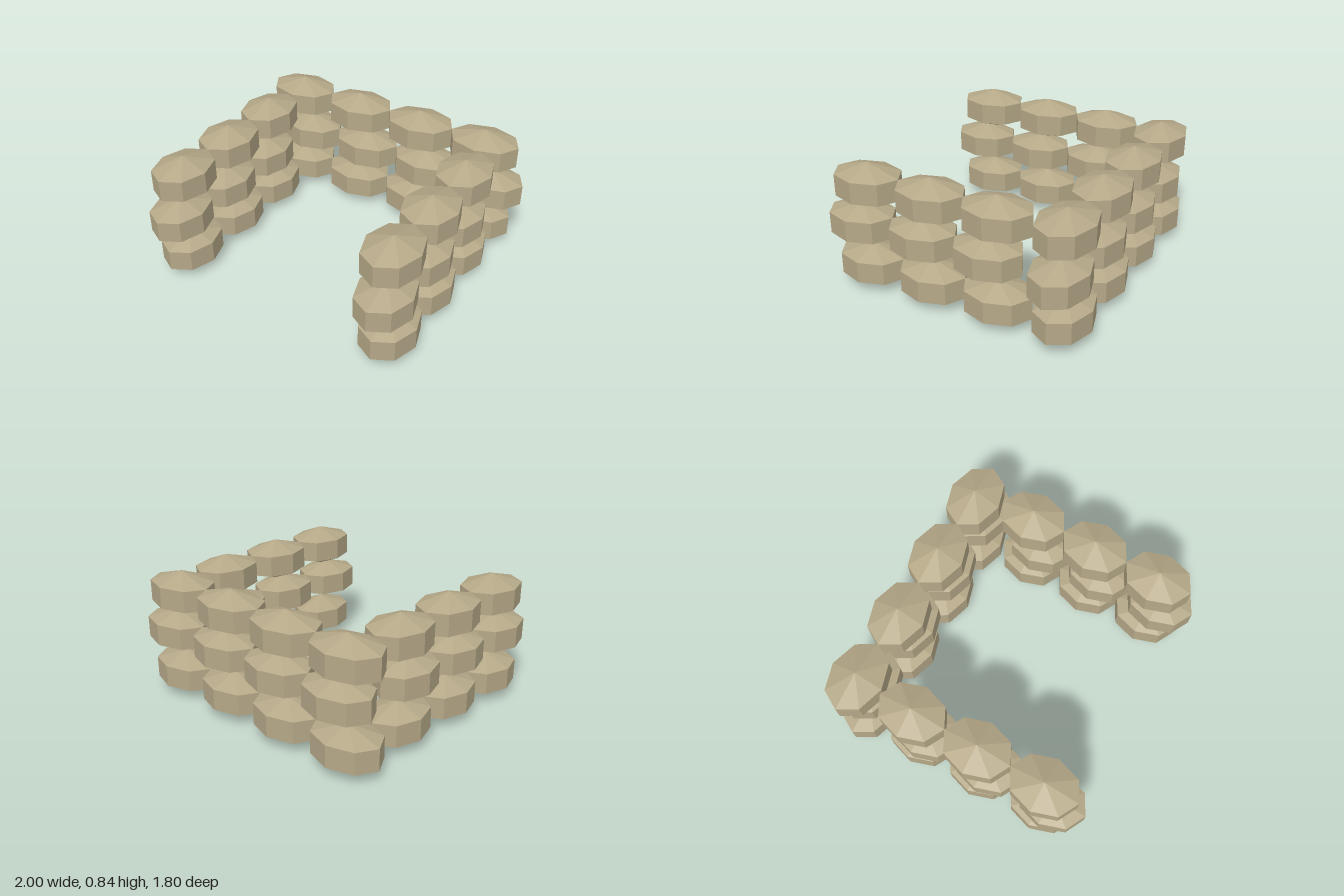
import * as THREE from 'three';

export function createModel() {
  const model = new THREE.Group();
  model.name = 'sandbagBarricade';

  const canvas = new THREE.MeshStandardMaterial({ color: 0xb5a888, flatShading: true });
  canvas.name = 'sandCanvas';

  const RING = Math.sin(Math.PI / 3); // radius of the bag's band on a three-ring sphere
  const BAG_HEIGHT = 0.285;
  const LAYER_PITCH = 0.276;

  // One faceted bag: an eight-sided band with pointed top and bottom
  const bagGeometry = (halfX, halfZ) =>
    new THREE.SphereGeometry(1, 8, 3).toNonIndexed().scale(halfX / RING, BAG_HEIGHT / 2, halfZ / RING);
  const backBag = bagGeometry(0.243, 0.178);
  const sideBag = bagGeometry(0.178, 0.23);

  const addBag = (group, geometry, name, x, y, z) => {
    const bag = new THREE.Mesh(geometry, canvas);
    bag.name = name;
    bag.position.set(x, y, z);
    group.add(bag);
  };

  const walls = {};
  for (const name of ['backWall', 'rightWall', 'leftWall']) {
    walls[name] = new THREE.Group();
    walls[name].name = name;
    model.add(walls[name]);
  }

  // Three layers, the middle one shifted along each wall
  for (let layer = 0; layer < 3; layer++) {
    const y = BAG_HEIGHT / 2 + layer * LAYER_PITCH;
    const shift = layer % 2 ? 0.065 : 0;

    for (let i = 0; i < 4; i++) {
      addBag(walls.backWall, backBag, 'backBag', -0.758 + i * 0.484 + shift, y, -0.722);
    }
    for (let i = 0; i < 3; i++) {
      const z = 0.61 - i * 0.459 + shift;
      addBag(walls.rightWall, sideBag, 'rightBag', -0.785, y, z);
      addBag(walls.leftWall, sideBag, 'leftBag', 0.75, y, z);
    }
  }
  return model;
}
